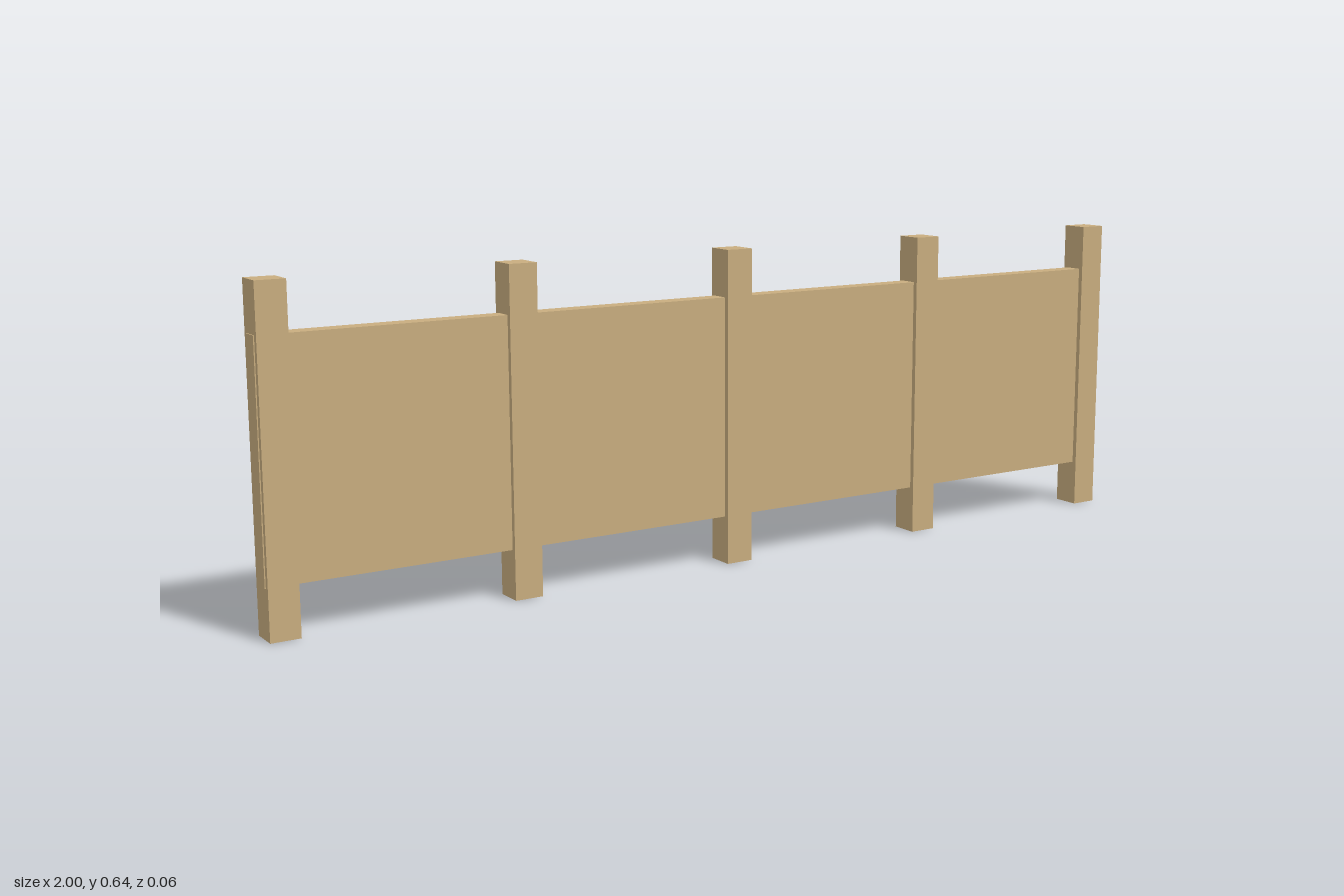
import * as THREE from 'three';

export function createModel() {
  const fence = new THREE.Group();
  fence.name = 'fence';
  const wood = new THREE.MeshStandardMaterial({ color: 0xc8ad7f, flatShading: true });

  const addBox = (name, width, height, depth, x, bottom) => {
    const mesh = new THREE.Mesh(new THREE.BoxGeometry(width, height, depth), wood);
    mesh.name = name;
    mesh.position.set(x, bottom + height / 2, 0);
    fence.add(mesh);
  };

  // One long panel runs through all the posts, its ends just showing
  addBox('panel', 2, 0.451, 0.038, 0, 0.098);

  // Five evenly spaced square posts
  for (let i = -2; i <= 2; i++) {
    addBox(`post${i + 3}`, 0.058, 0.645, 0.058, i * 0.4845, 0);
  }

  return fence;
}
